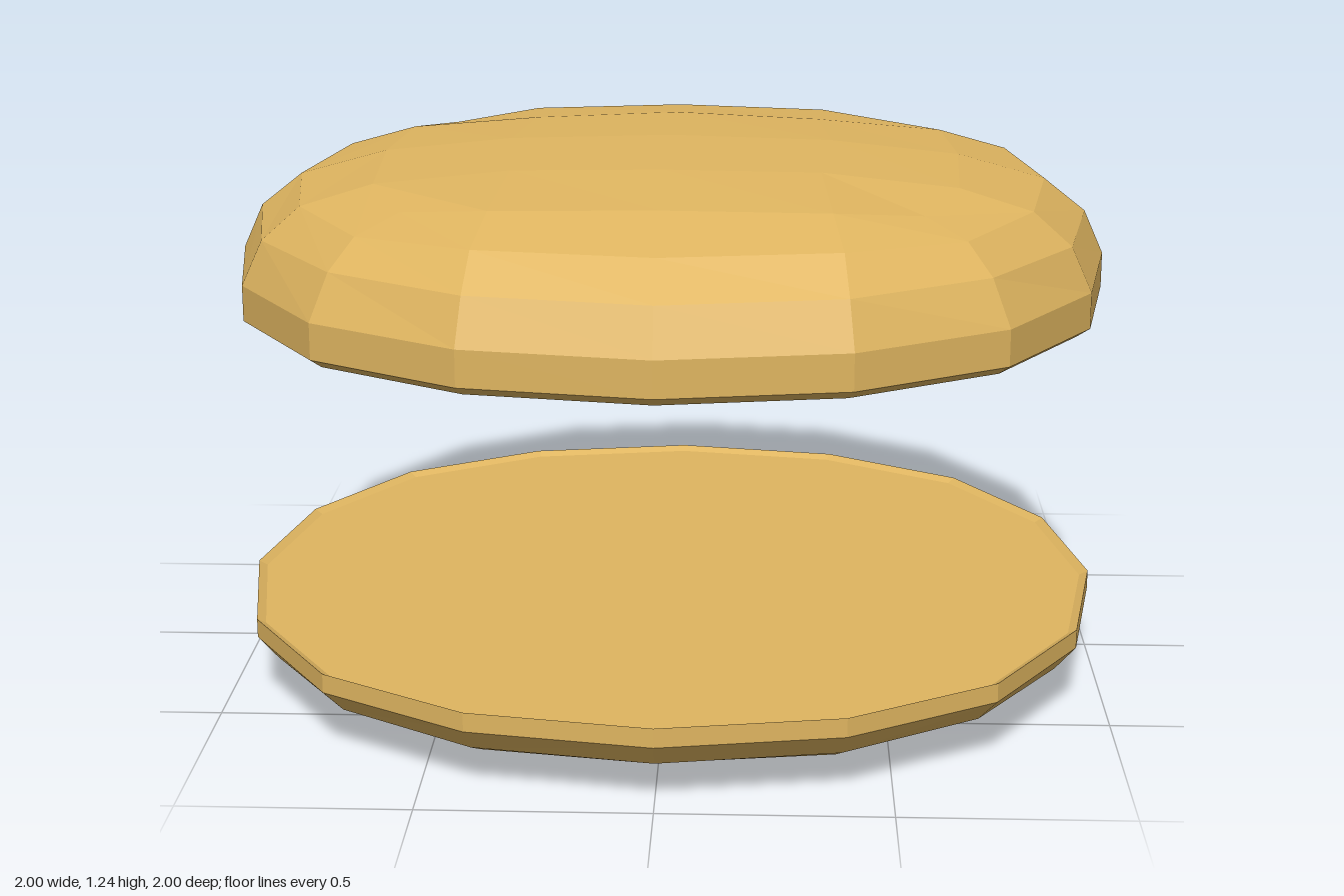
import * as THREE from 'three';

// Square rings from the crown outwards. Each lists the points along one eighth
// of the ring (axis, middle, corner) as [major, minor, drop below the crown].
const crown = [[0, 0, 0]];
const inner = [[0.37, 0, 0.01], [0.34, 0.34, 0.02]];
const RINGS = [
  [[0.66, 0, 0.04], [0.36, 0.64, 0.048], [0.555, 0.555, 0.07]],
  [[0.86, 0, 0.095], [0.38, 0.80, 0.095], [0.64, 0.64, 0.105]],
  [[0.955, 0, 0.17], [0.39, 0.885, 0.17], [0.69, 0.69, 0.17]],
  [[1, 0, 0.27], [0.4, 0.93, 0.27], [0.727, 0.727, 0.27]],
  [[1, 0, 0.35], [0.4, 0.93, 0.35], [0.727, 0.727, 0.35]],
].map(ring => ring.map(([a, b, d]) => [Math.max(a, b), Math.min(a, b), d]));

// The 16 steps around the edge of a 4 x 4 square, from +x towards +z.
const EDGE = [[2, 0], [2, 1], [2, 2], [1, 2], [0, 2], [-1, 2], [-2, 2], [-2, 1],
  [-2, 0], [-2, -1], [-2, -2], [-1, -2], [0, -2], [1, -2], [2, -2], [2, -1]];

// Mirrors a ring's eighth to the square position (u, v).
function place(ring, u, v) {
  const a = Math.abs(u), b = Math.abs(v);
  const [major, minor, drop] = ring[Math.min(a, b)];
  const x = a >= b ? major : minor, z = a >= b ? minor : major;
  return [Math.sign(u) * x, -drop, Math.sign(v) * z];
}

// crownY: height of the crown; scale: negative turns the dome upside down;
// lipSize, lipDrop, faceDrop: the narrow bevel and centre of the cut face.
function makeBun(name, crownY, scale, lipSize, lipDrop, faceDrop, material) {
  const positions = [];
  const tri = (...points) => {
    if (scale < 0) points.reverse();
    for (const [x, y, z] of points) positions.push(x, crownY + y * scale, z);
  };
  const quad = (a, b, c, d) => { tri(a, b, c); tri(a, c, d); };

  // Crown patch
  const patch = [crown, inner, RINGS[0]];
  const at = (u, v) => place(patch[Math.max(Math.abs(u), Math.abs(v))], u, v);
  for (let u = -2; u < 2; u++) {
    for (let v = -2; v < 2; v++) quad(at(u, v), at(u, v + 1), at(u + 1, v + 1), at(u + 1, v));
  }

  // Shoulder, side and lip bands
  const loops = RINGS.map(ring => EDGE.map(([u, v]) => place(ring, u, v)));
  const rim = loops[loops.length - 1];
  const lip = rim.map(([x, , z]) => [x * lipSize, -lipDrop, z * lipSize]);
  loops.push(lip);
  for (let k = 0; k + 1 < loops.length; k++) {
    const up = loops[k], low = loops[k + 1];
    for (let i = 0; i < 16; i++) {
      const j = (i + 1) % 16;
      quad(low[i], up[i], up[j], low[j]);
    }
  }

  // Cut face
  for (let i = 0; i < 16; i++) tri(lip[i], lip[(i + 1) % 16], [0, -faceDrop, 0]);

  const geometry = new THREE.BufferGeometry();
  geometry.setAttribute('position', new THREE.Float32BufferAttribute(positions, 3));
  geometry.computeVertexNormals();
  const mesh = new THREE.Mesh(geometry, material);
  mesh.name = name;
  return mesh;
}

export function createModel() {
  const group = new THREE.Group();
  group.name = 'burgerBun';
  const bread = new THREE.MeshStandardMaterial({ color: 0xdfb560, flatShading: true });
  group.add(makeBun('topBun', 1.24, 1, 0.972, 0.37, 0.38, bread));
  group.add(makeBun('bottomBun', 0, -0.54, 0.98, 0.33, 0.325, bread));
  return group;
}
